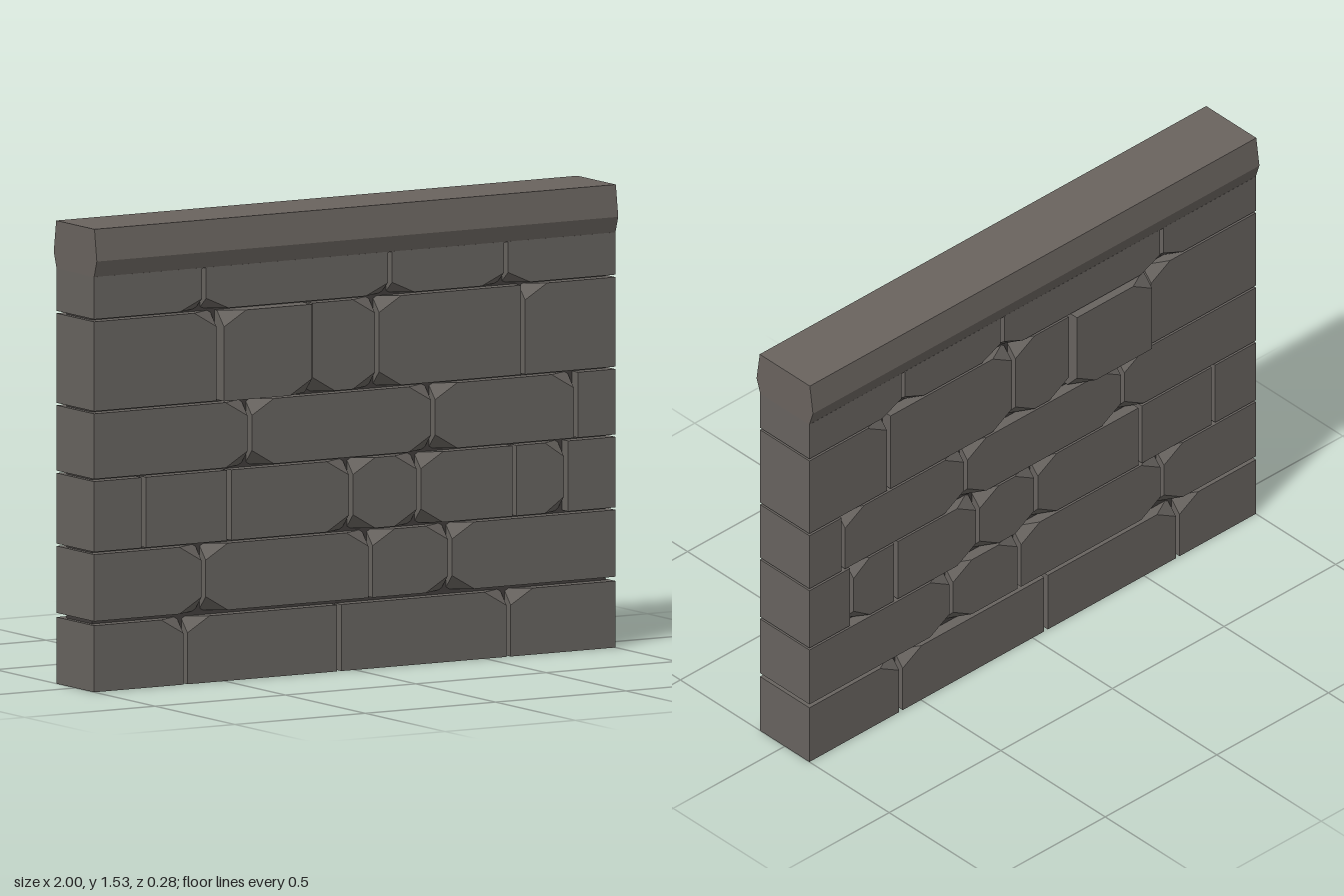
import * as THREE from 'three';
import { ConvexGeometry } from 'three/addons/geometries/ConvexGeometry.js';

const stone = new THREE.MeshStandardMaterial({ name: 'stone grey', color: 0x67635f });
const coping = new THREE.MeshStandardMaterial({ name: 'coping grey', color: 0x69635e });
const mortar = new THREE.MeshStandardMaterial({ name: 'dark mortar', color: 0x403d3b });

const HALF_DEPTH = 0.118;
const GAP = 0.008;

// Each course: bottom, top, and joints as [x, chipped corners around the joint].
// T / B = top / bottom of the joint, l / r = stone to its left / right.
const courses = [
  { y0: 0, y1: 0.22, joints: [[-0.65, 'TlTr'], [-0.06, ''], [0.59, 'TlTr']] },
  { y0: 0.234, y1: 0.455, joints: [[-0.58, 'TlTrBlBr'], [0.06, 'TlTr'], [0.365, 'TlTrBlBr']] },
  { y0: 0.463, y1: 0.696, joints: [[-0.81, ''], [-0.482, ''], [-0.015, 'TlTrBlBr'], [0.245, 'TlTrBlBr'], [0.612, ''], [0.81, 'TlBl']] },
  { y0: 0.704, y1: 0.92, joints: [[-0.403, 'TlTrBlBr'], [0.3, 'TlTrBlBr'], [0.848, 'Tl']] },
  { y0: 0.928, y1: 1.224, joints: [[-0.523, 'TlTr'], [-0.17, 'BlBr'], [0.085, 'TlTrBlBr'], [0.645, 'Tr']], raised: 1 },
  { y0: 1.232, y1: 1.372, joints: [[-0.578, 'BlBr'], [0.135, 'BlBr'], [0.58, 'BlBr']] },
];

// A block whose chosen corners are cut off on both faces of the wall
function stoneGeometry(x0, x1, y0, y1, d, chips) {
  const points = [];
  const cutX = Math.min(0.085, (x1 - x0) * 0.4);
  const cutY = Math.min(0.05, (y1 - y0) * 0.27);
  const cutZ = 0.045;
  for (const sx of [-1, 1]) for (const sy of [-1, 1]) for (const sz of [-1, 1]) {
    const x = sx < 0 ? x0 : x1;
    const y = sy < 0 ? y0 : y1;
    const z = sz * d;
    if (chips.has((sy > 0 ? 'T' : 'B') + (sx > 0 ? 'R' : 'L'))) {
      points.push(
        new THREE.Vector3(x - sx * cutX, y, z),
        new THREE.Vector3(x, y - sy * cutY, z),
        new THREE.Vector3(x, y, z - sz * cutZ)
      );
    } else points.push(new THREE.Vector3(x, y, z));
  }
  return new ConvexGeometry(points);
}

export function createModel() {
  const wall = new THREE.Group();
  wall.name = 'stoneWall';

  // Recessed core seen through the joints
  const core = new THREE.Mesh(new THREE.BoxGeometry(1.97, 1.38, 0.16), mortar);
  core.name = 'mortarCore';
  core.position.y = 0.7;
  wall.add(core);

  // Courses of stones
  courses.forEach(({ y0, y1, joints, raised }, row) => {
    const course = new THREE.Group();
    course.name = `course${row + 1}`;
    for (let i = 0; i <= joints.length; i++) {
      const left = joints[i - 1], right = joints[i];
      const x0 = left ? left[0] + GAP : -1;
      const x1 = right ? right[0] - GAP : 1;
      const chips = new Set();
      for (const side of ['T', 'B']) {
        if (left && left[1].includes(side + 'r')) chips.add(side + 'L');
        if (right && right[1].includes(side + 'l')) chips.add(side + 'R');
      }
      const depth = i === raised ? 0.14 : HALF_DEPTH;
      const block = new THREE.Mesh(stoneGeometry(x0, x1, y0, y1, depth, chips), stone);
      block.name = `stone${row + 1}_${i + 1}`;
      course.add(block);
    }
    wall.add(course);
  });

  // Coping with sloped sides, running the full length
  const profile = new THREE.Shape([
    [-0.117, 1.37], [0.117, 1.37], [0.135, 1.425], [0.12, 1.53], [-0.12, 1.53], [-0.135, 1.425],
  ].map(([z, y]) => new THREE.Vector2(z, y)));
  const capGeometry = new THREE.ExtrudeGeometry(profile, { depth: 2, bevelEnabled: false });
  capGeometry.translate(0, 0, -1).rotateY(Math.PI / 2);
  const cap = new THREE.Mesh(capGeometry, coping);
  cap.name = 'coping';
  wall.add(cap);

  return wall;
}
